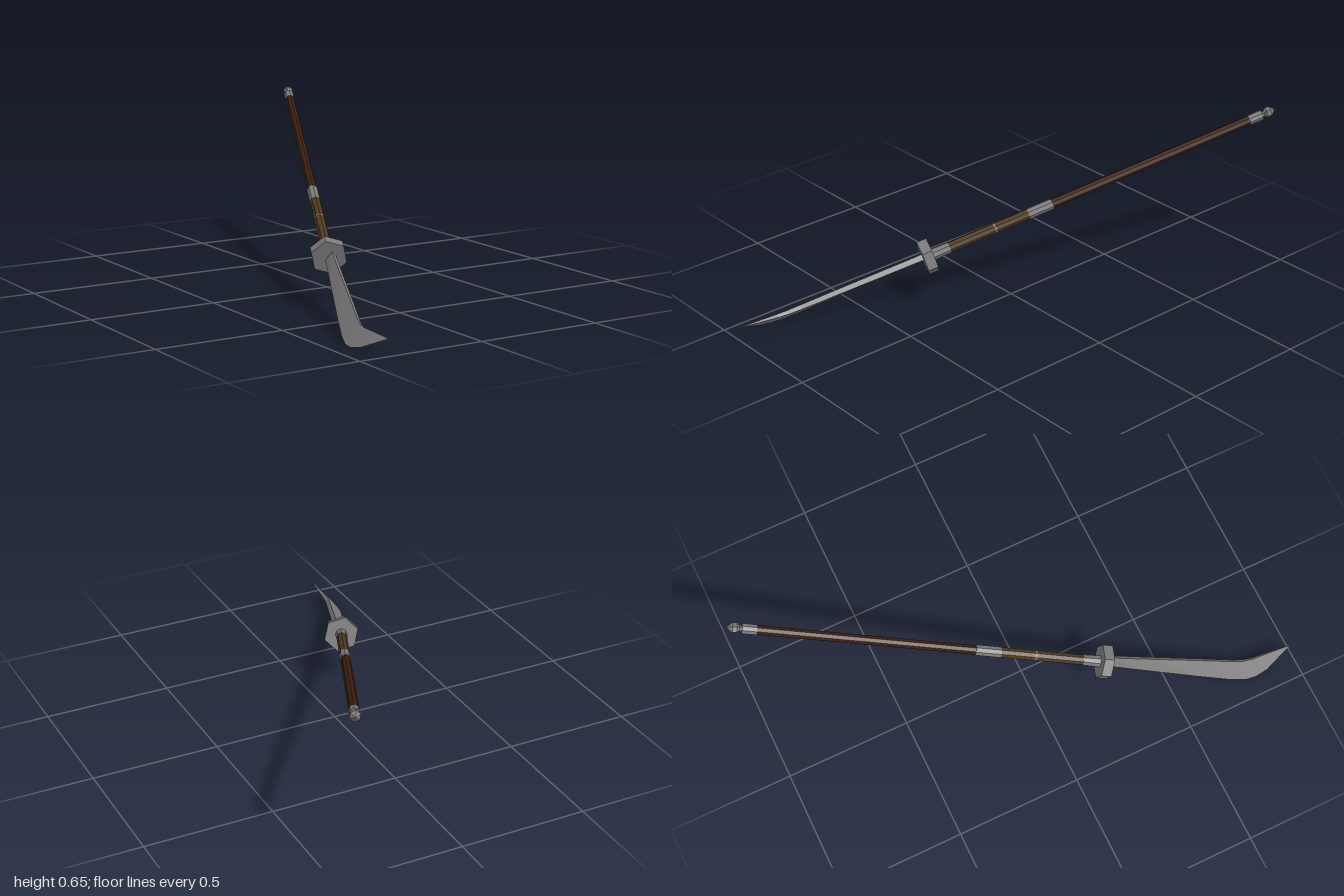
import * as THREE from 'three';

const mat = (name, color) => {
  const m = new THREE.MeshStandardMaterial({ color });
  m.name = name;
  return m;
};

// Faceted normals for a low-poly look
function faceted(geometry) {
  const g = geometry.index ? geometry.toNonIndexed() : geometry;
  g.computeVertexNormals();
  return g;
}

// Turned part: profile of [radius, distance along the shaft]
function turned(name, profile, sides, material) {
  const pts = profile.map(([r, s]) => new THREE.Vector2(r, s));
  const g = new THREE.LatheGeometry(pts, sides);
  g.rotateY(Math.PI / 2);
  const mesh = new THREE.Mesh(faceted(g), material);
  mesh.name = name;
  return mesh;
}

// Closed cylinder-like sleeve between two distances
const sleeve = (name, r, from, to, sides, material) =>
  turned(name, [[0, from], [r, from], [r, to], [0, to]], sides, material);

// Curved blade: wedge section with a thick spine and a sharp edge
function bladeGeometry() {
  // [spine distance, spine offset, edge distance, edge offset, half thickness]
  const stations = [
    [0.00, 0.022, 0.00, -0.017, 0.012],
    [0.20, 0.034, 0.20, -0.021, 0.011],
    [0.40, 0.047, 0.40, -0.025, 0.010],
    [0.52, 0.054, 0.54, -0.026, 0.009],
    [0.57, 0.060, 0.60, -0.020, 0.008],
    [0.61, 0.074, 0.64, -0.003, 0.007],
    [0.66, 0.100, 0.68, 0.032, 0.005],
    [0.75, 0.144, 0.751, 0.143, 0.0008],
  ];
  const rings = stations.map(([ts, ws, te, we, h]) => [
    [ws, -ts, h], [we, -te, 0], [ws, -ts, -h],
  ]);
  const pos = [];
  const tri = (a, b, c) => pos.push(...a, ...b, ...c);
  for (let i = 0; i < rings.length - 1; i++) {
    for (let k = 0; k < 3; k++) {
      const n = (k + 1) % 3;
      const [p, q, r, s] = [rings[i][k], rings[i][n], rings[i + 1][n], rings[i + 1][k]];
      tri(p, q, r);
      tri(p, r, s);
    }
  }
  const last = rings[rings.length - 1];
  tri(last[0], last[1], last[2]);
  tri(rings[0][0], rings[0][2], rings[0][1]);
  const g = new THREE.BufferGeometry();
  g.setAttribute('position', new THREE.Float32BufferAttribute(pos, 3));
  return faceted(g);
}

export function createModel() {
  const steel = mat('steel', 0x7c7c7c);
  const leather = mat('leather wrap', 0x4f3a1e);
  const wood = mat('dark wood', 0x3d1f10);

  const weapon = new THREE.Group();
  weapon.name = 'polearm';

  // Blade
  const blade = new THREE.Mesh(bladeGeometry(), steel);
  blade.name = 'blade';
  weapon.add(blade);

  // Hexagonal guard and its collar
  weapon.add(sleeve('guard', 0.07, -0.02, 0.02, 6, steel));
  weapon.add(turned('guardCollar', [[0.024, 0.015], [0.022, 0.09], [0, 0.09]], 8, steel));

  // Grip with a narrow band, then the middle ferrule
  weapon.add(sleeve('grip', 0.021, 0.08, 0.43, 8, leather));
  weapon.add(sleeve('gripBand', 0.0213, 0.277, 0.285, 8, steel));
  weapon.add(sleeve('middleFerrule', 0.022, 0.42, 0.52, 8, steel));

  // Long shaft and end ferrule
  weapon.add(sleeve('shaft', 0.019, 0.51, 1.38, 8, wood));
  weapon.add(sleeve('endFerrule', 0.0205, 1.36, 1.415, 8, steel));

  // Pommel: short neck and faceted knob
  weapon.add(turned('pommel', [
    [0.012, 1.41], [0.012, 1.424], [0.022, 1.434], [0.021, 1.45], [0, 1.473],
  ], 6, steel));

  // Lay the weapon along its slanted axis, with the blade curling towards "across"
  const along = new THREE.Vector3(0.402, 0.3, -0.865).normalize();
  const across = new THREE.Vector3(0.59, 0.64, 0.49);
  across.addScaledVector(along, -across.dot(along)).normalize();
  const side = new THREE.Vector3().crossVectors(across, along);
  weapon.quaternion.setFromRotationMatrix(new THREE.Matrix4().makeBasis(across, along, side));
  weapon.position.set(-0.168, 0.195, 0.277);

  const model = new THREE.Group();
  model.name = 'model';
  model.add(weapon);
  return model;
}
